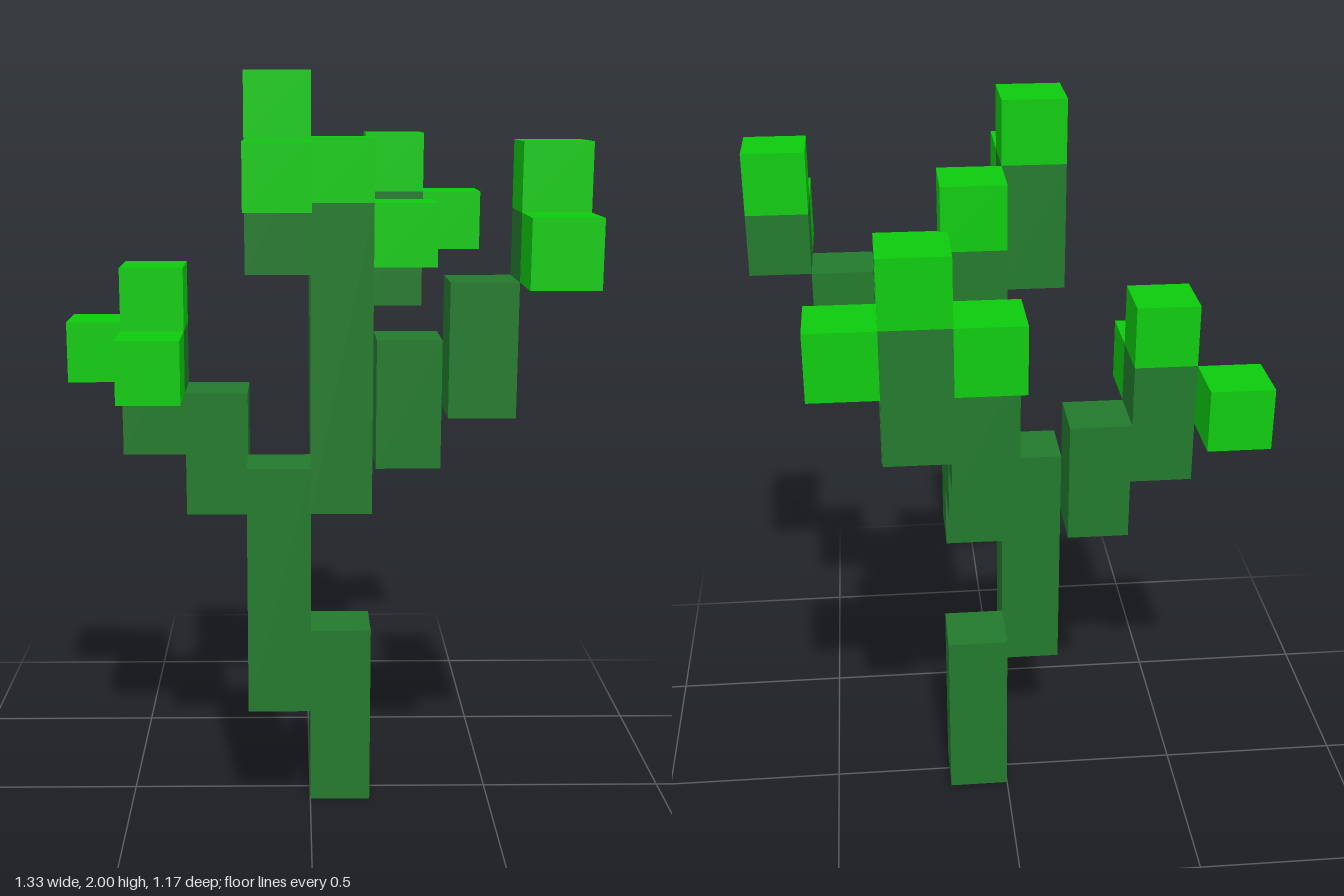
import * as THREE from 'three';

const U = 1 / 6; // voxel size

export function createModel() {
  const group = new THREE.Group();
  const stemGreen = new THREE.MeshStandardMaterial({ color: 0x237a2d });
  stemGreen.name = 'stemGreen';
  const leafGreen = new THREE.MeshStandardMaterial({ color: 0x0ecb0e });
  leafGreen.name = 'leafGreen';

  // Column of voxels at grid cell (i, k), from level j, n voxels tall
  function column(name, material, i, k, j, n = 1) {
    const mesh = new THREE.Mesh(new THREE.BoxGeometry(U, U * n, U), material);
    mesh.position.set((i + 0.5) * U, (j + n / 2) * U, k * U);
    mesh.name = name;
    group.add(mesh);
  }

  // Trunk and branches: name, i, k, bottom level, height
  const stems = [
    ['trunkBase', 0, 0, 0, 3],
    ['trunkMiddle', -1, 1, 2, 4],
    ['trunkTop', 0, 0, 5, 5],
    ['rightBranch', -2, 0, 5, 2],
    ['rightBranchTip', -3, 0, 6, 2],
    ['backBranchInner', 0, -1, 6, 2],
    ['backBranchOuter', 0, -2, 7, 2],
    ['backBranchTip', 1, -3, 8, 2],
    ['leftBranchInner', 1, 1, 6, 2],
    ['leftBranchOuter', 2, 2, 7, 2],
    ['leftBranchTip', 3, 2, 9, 1],
    ['frontBranchTip', -1, 1, 9, 2],
  ];
  for (const [name, i, k, j, n] of stems) column(name, stemGreen, i, k, j, n);

  // Leaf blocks on top of and beside each tip: name, i, k, level
  const leaves = [
    ['trunkTopLeaf', 0, 0, 10],
    ['trunkSideLeaf', 1, 0, 9],
    ['rightTopLeaf', -3, 0, 8],
    ['rightFrontLeaf', -3, 1, 7],
    ['rightBackLeaf', -4, -1, 7],
    ['backTopLeaf', 1, -3, 10],
    ['backLeftLeaf', 2, -3, 9],
    ['backRightLeaf', 0, -3, 9],
    ['leftTopLeaf', 3, 2, 10],
    ['leftFrontLeaf', 3, 3, 9],
    ['frontTopLeaf', -1, 1, 11],
    ['frontSideLeaf', -1, 2, 10],
  ];
  for (const [name, i, k, j] of leaves) column(name, leafGreen, i, k, j);

  return group;
}
